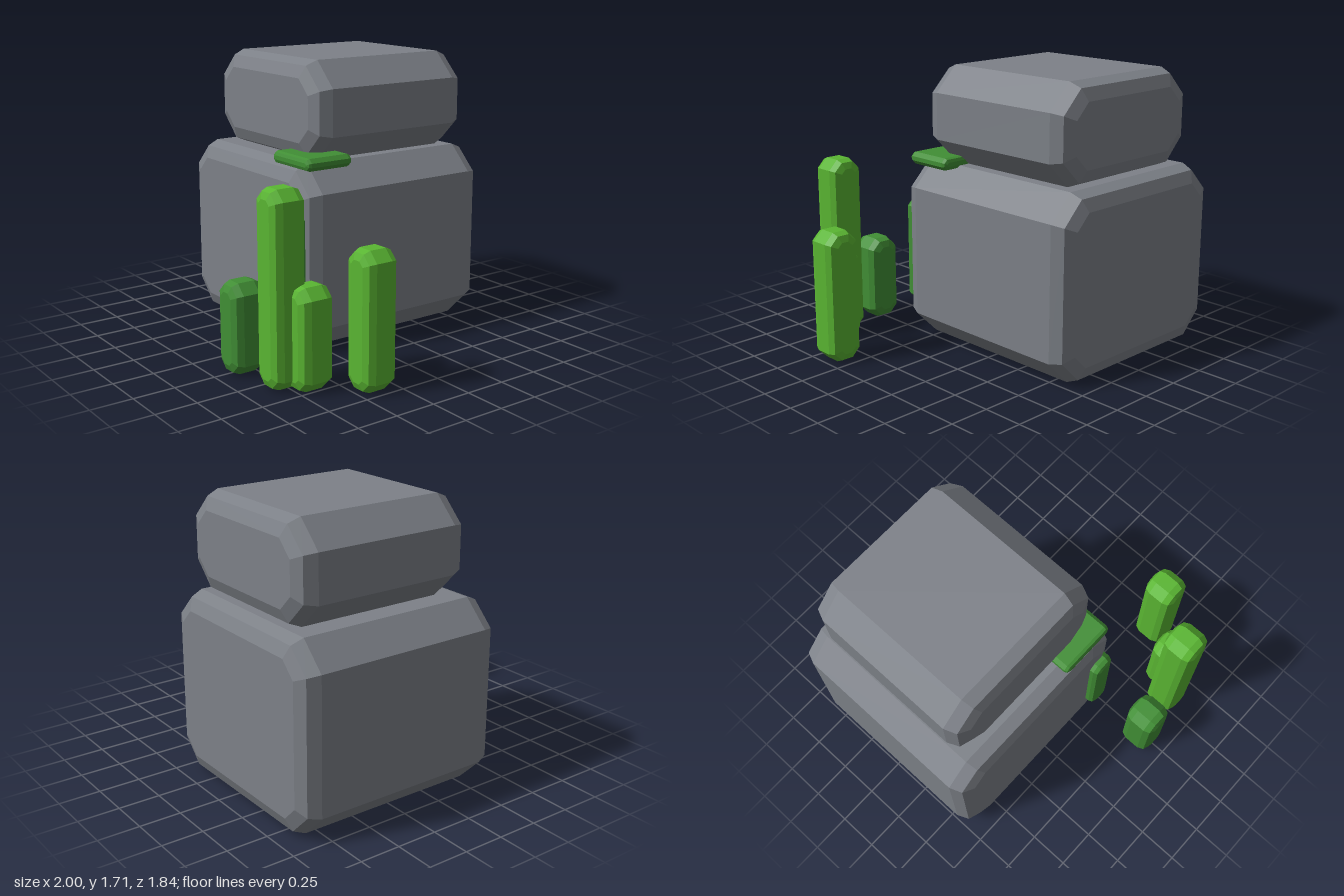
import * as THREE from 'three';

const rock = new THREE.MeshStandardMaterial({ name: 'rock grey', color: 0x7d8188 });
const bright = new THREE.MeshStandardMaterial({ name: 'bright green', color: 0x5ab632 });
const dark = new THREE.MeshStandardMaterial({ name: 'dark green', color: 0x418f35 });

// Box between two corners: octagonal front outline, two-step bevel front and back
function chamferBox(name, material, [x0, y0, z0], [x1, y1, z1], bevel, cut) {
  const w = (x1 - x0) / 2 - bevel, h = (y1 - y0) / 2 - bevel;
  const outline = new THREE.Shape([
    [-w + cut, -h], [w - cut, -h], [w, -h + cut], [w, h - cut],
    [w - cut, h], [-w + cut, h], [-w, h - cut], [-w, -h + cut],
  ].map(([x, y]) => new THREE.Vector2(x, y)));
  const depth = z1 - z0 - 2 * bevel;
  const geometry = new THREE.ExtrudeGeometry(outline, {
    depth, bevelEnabled: true, bevelSize: bevel, bevelThickness: bevel, bevelSegments: 2,
  });
  geometry.translate(0, 0, -depth / 2);
  const mesh = new THREE.Mesh(geometry, material);
  mesh.name = name;
  mesh.position.set((x0 + x1) / 2, (y0 + y1) / 2, (z0 + z1) / 2);
  return mesh;
}

export function createModel() {
  const model = new THREE.Group();
  model.name = 'mossyRocks';

  // Stacked boulders
  model.add(
    chamferBox('lowerRock', rock, [-1, 0, -0.92], [0.33, 1.12, 0.41], 0.104, 0.093),
    chamferBox('upperRock', rock, [-0.86, 1.12, -0.835], [0.257, 1.71, 0.285], 0.104, 0.093),
  );

  // Moss clinging to the rocks
  model.add(
    chamferBox('mossLedge', dark, [-0.075, 1.1, 0.07], [0.3, 1.175, 0.385], 0.025, 0.01),
    chamferBox('mossStrip', dark, [0.123, 0.2, 0.32], [0.272, 0.855, 0.47], 0.035, 0.018),
  );

  // Free-standing grass blades: x, z, height, colour
  const blades = [
    [0.57, 0.757, 1.12, bright],
    [0.678, 0.653, 0.59, bright],
    [0.89, 0.385, 0.8, bright],
    [0.25, 0.81, 0.535, dark],
  ];
  const half = 0.106;
  blades.forEach(([x, z, height, material], i) => {
    model.add(chamferBox(`grassBlade${i + 1}`, material,
      [x - half, 0, z - half], [x + half, height, z + half], 0.055, 0.028));
  });

  return model;
}
